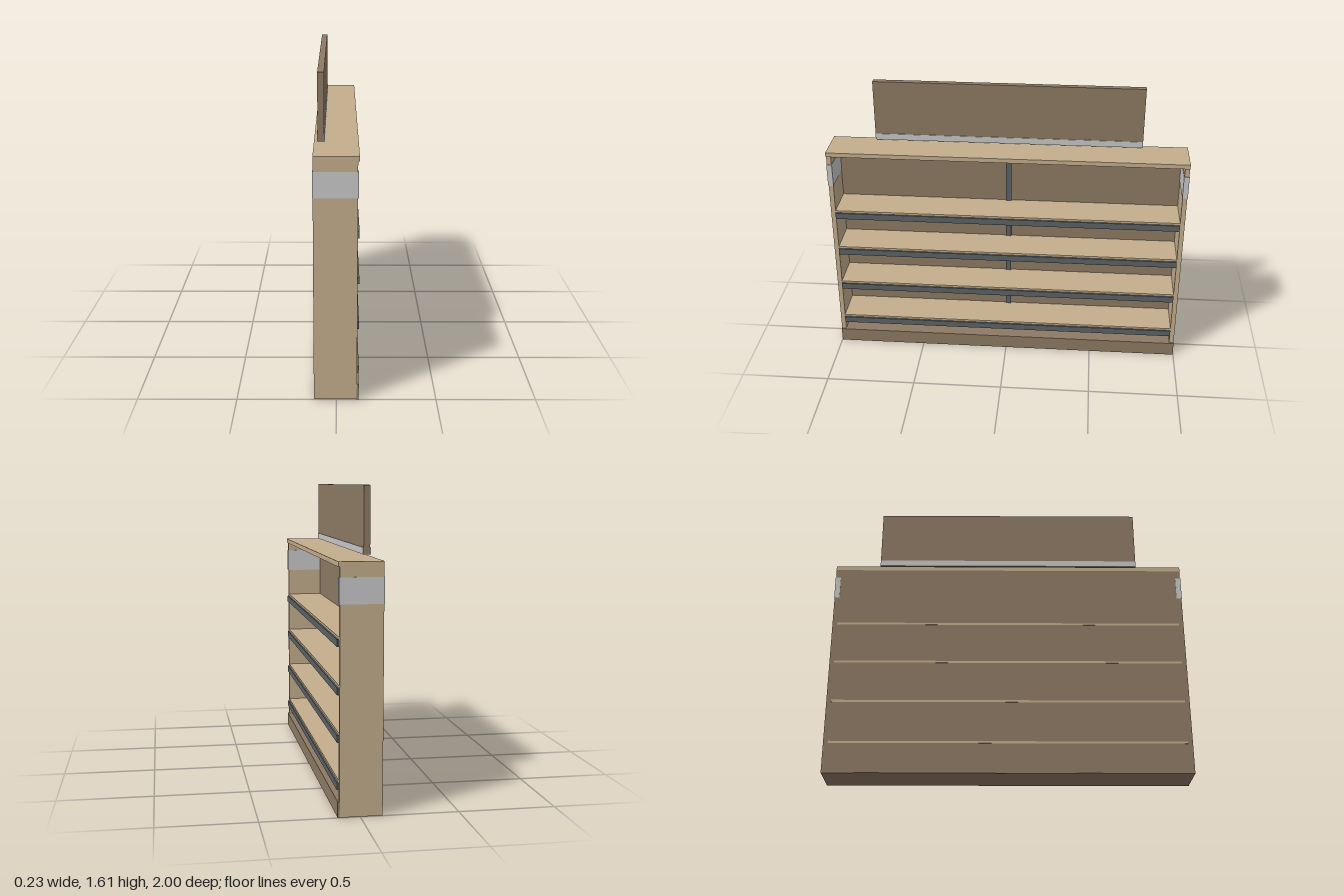
import * as THREE from 'three';

const material = (name, color) => Object.assign(new THREE.MeshStandardMaterial({ color }), { name });

export function createModel() {
  const model = new THREE.Group();
  model.name = 'shelvingUnit';
  const tan = material('tan', 0xc4ae8d);
  const brown = material('brown', 0x8e7a64);
  const slate = material('slate', 0x5c6266);
  const silver = material('silver', 0xc9c9c9);

  // Box given by its limits along each axis
  const box = (name, mat, [x0, x1], [y0, y1], [z0, z1]) => {
    const mesh = new THREE.Mesh(new THREE.BoxGeometry(x1 - x0, y1 - y0, z1 - z0), mat);
    mesh.position.set((x0 + x1) / 2, (y0 + y1) / 2, (z0 + z1) / 2);
    mesh.name = name;
    model.add(mesh);
  };

  // Carcass: plinth, back panel, top board
  box('plinth', brown, [-0.112, 0.102], [0, 0.08], [-0.997, 0.997]);
  box('kickPlate', brown, [0.102, 0.112], [0, 0.08], [-0.998, 0.998]);
  box('backPanel', brown, [-0.113, -0.107], [0.001, 1.231], [-0.997, 0.997]);
  box('topBoard', tan, [-0.113, 0.111], [1.23, 1.255], [-0.999, 0.999]);

  // Side panels, each wrapped by a silver band
  for (const s of [-1, 1]) {
    const span = (a, b) => (s > 0 ? [a, b] : [-b, -a]);
    box('sidePanel', tan, [-0.112, 0.103], [0.001, 1.23], span(0.972, 0.998));
    box('sideBand', silver, [-0.115, 0.107], [1.05, 1.18], span(0.97, 1));
  }

  // Upright against the back panel
  box('centreUpright', slate, [-0.108, -0.098], [0.08, 1.23], [-0.015, 0.015]);

  // Shelves with a price rail along the front edge
  for (const top of [0.18, 0.418, 0.654, 0.89]) {
    box('shelf', tan, [-0.11, 0.103], [top - 0.024, top], [-0.973, 0.973]);
    box('shelfBackEdge', tan, [-0.1135, -0.11], [top - 0.012, top], [-0.972, 0.972]);
    box('shelfRail', slate, [0.103, 0.112], [top - 0.048, top - 0.012], [-0.972, 0.972]);
  }

  // Header board with silver trim on both faces
  box('headerBoard', brown, [-0.094, -0.061], [1.27, 1.614], [-0.747, 0.747]);
  for (const x of [-0.097, -0.061]) {
    box('headerTrim', silver, [x, x + 0.003], [1.27, 1.305], [-0.747, 0.747]);
  }
  return model;
}
